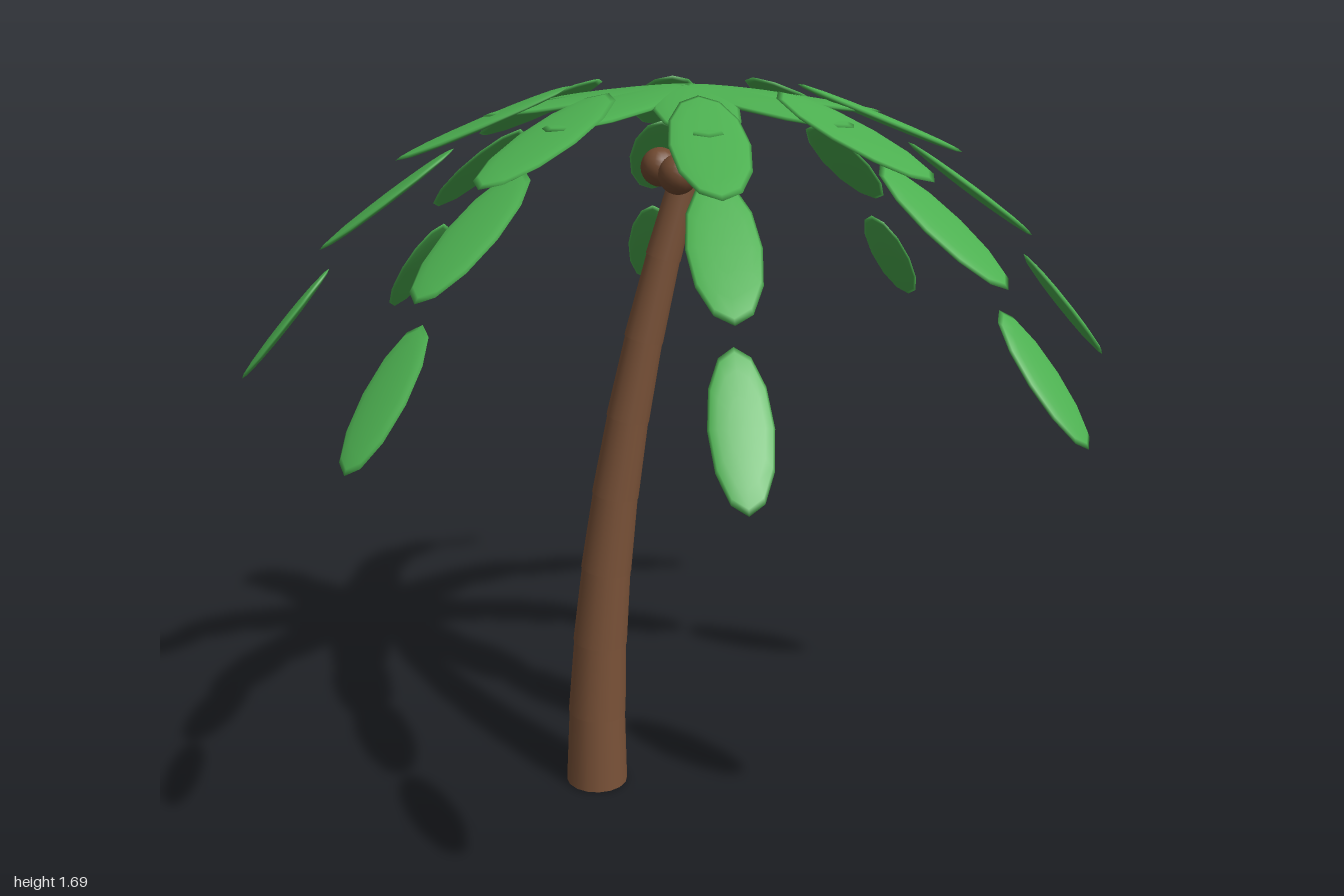
import * as THREE from 'three';

const flat = (name, color) => {
  const m = new THREE.MeshStandardMaterial({ color });
  m.name = name;
  return m;
};

export function createModel() {
  const leafGreen = flat('leafGreen', 0x4caf50);
  const barkBrown = flat('barkBrown', 0x7a5238);
  const nutBrown = flat('nutBrown', 0x704930);

  const tree = new THREE.Group();
  tree.name = 'palmTree';

  // Leaning trunk: tapered segments stacked along a curve
  const trunk = new THREE.Group();
  trunk.name = 'trunk';
  const SEGMENTS = 8, HEIGHT = 1.5;
  const trunkPoint = (y) => new THREE.Vector3(-0.22 + 0.1 * y * y, y, 0);
  const trunkRadius = (y) => 0.075 - 0.026 * y;
  const up = new THREE.Vector3(0, 1, 0);
  for (let i = 0; i < SEGMENTS; i++) {
    const y0 = (HEIGHT * i) / SEGMENTS, y1 = (HEIGHT * (i + 1)) / SEGMENTS;
    const a = trunkPoint(y0), b = trunkPoint(y1);
    const axis = b.clone().sub(a);
    const segment = new THREE.Mesh(
      new THREE.CylinderGeometry(trunkRadius(y1) - 0.002, trunkRadius(y0), axis.length() + 0.004, 16),
      barkBrown
    );
    segment.name = 'trunkSegment';
    segment.position.copy(a).add(b).multiplyScalar(0.5);
    segment.quaternion.setFromUnitVectors(up, axis.normalize());
    trunk.add(segment);
  }
  trunk.position.y = 0.002;
  tree.add(trunk);

  // Nuts clustered under the crown
  const nutGeometry = new THREE.SphereGeometry(0.044, 16, 12);
  for (let i = 0; i < 3; i++) {
    const angle = -0.22 + (i * Math.PI * 2) / 3;
    const nut = new THREE.Mesh(nutGeometry, nutBrown);
    nut.name = 'nut';
    nut.position.set(0.073 * Math.cos(angle), 1.507, 0.073 * Math.sin(angle));
    tree.add(nut);
  }

  // Fronds: flattened leaflets drooping along an arc
  // radius, height, half length, half width, droop in degrees
  const leaflets = [
    [0.22, 1.66, 0.222, 0.09, 8],
    [0.44, 1.614, 0.206, 0.081, 22],
    [0.655, 1.453, 0.186, 0.072, 35.6],
    [0.893, 1.18, 0.161, 0.06, 49.5],
  ];
  const leafGeometry = new THREE.SphereGeometry(1, 12, 8);
  for (let i = 0; i < 8; i++) {
    const frond = new THREE.Group();
    frond.name = 'frond';
    for (const [r, y, length, width, droop] of leaflets) {
      const leaflet = new THREE.Mesh(leafGeometry, leafGreen);
      leaflet.name = 'leaflet';
      leaflet.position.set(r, y, 0);
      leaflet.scale.set(length, 0.01, width);
      leaflet.rotation.z = -THREE.MathUtils.degToRad(droop);
      frond.add(leaflet);
    }
    frond.rotation.y = (i * Math.PI) / 4;
    tree.add(frond);
  }

  return tree;
}
